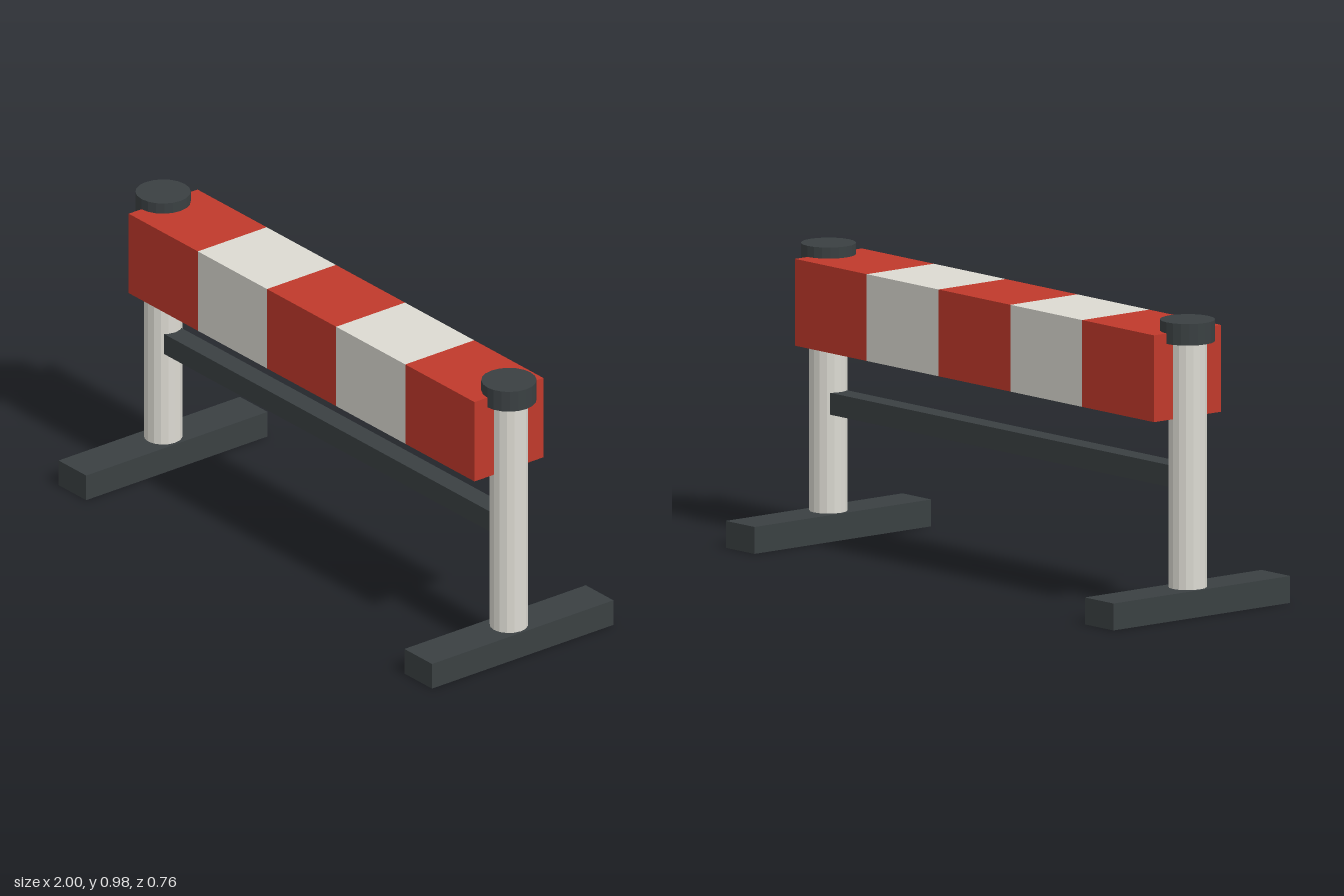
import * as THREE from 'three';

const material = (name, color, flatShading = false) => {
  const m = new THREE.MeshStandardMaterial({ color, flatShading });
  m.name = name;
  return m;
};

export function createModel() {
  const red = material('red', 0xc0392b);
  const white = material('offWhite', 0xdcdad2, true);
  const dark = material('darkGrey', 0x3a4042, true);

  const model = new THREE.Group();
  model.name = 'barrier';

  const add = (name, geometry, mat, x, y, z = 0) => {
    const mesh = new THREE.Mesh(geometry, mat);
    mesh.name = name;
    mesh.position.set(x, y, z);
    model.add(mesh);
  };

  const postX = 0.907;

  // Striped beam: five equal blocks, ending on the post centres
  const stripes = 5;
  const width = (2 * postX) / stripes;
  for (let i = 0; i < stripes; i++) {
    add('beamStripe' + (i + 1), new THREE.BoxGeometry(width, 0.29, 0.29),
      i % 2 ? white : red, (i - (stripes - 1) / 2) * width, 0.802);
  }

  // Lower crossbar
  add('crossbar', new THREE.BoxGeometry(2 * postX, 0.073, 0.073), dark, 0, 0.457);

  // Foot, post and cap at each end
  for (const [side, s] of [['left', 1], ['right', -1]]) {
    add(side + 'Foot', new THREE.BoxGeometry(0.145, 0.09, 0.764), dark, s * postX, 0.045);
    add(side + 'Post', new THREE.CylinderGeometry(0.0635, 0.0635, 0.91, 16), white, s * postX, 0.465);
    add(side + 'Cap', new THREE.CylinderGeometry(0.091, 0.091, 0.072, 20), dark, s * postX, 0.948);
  }

  return model;
}
